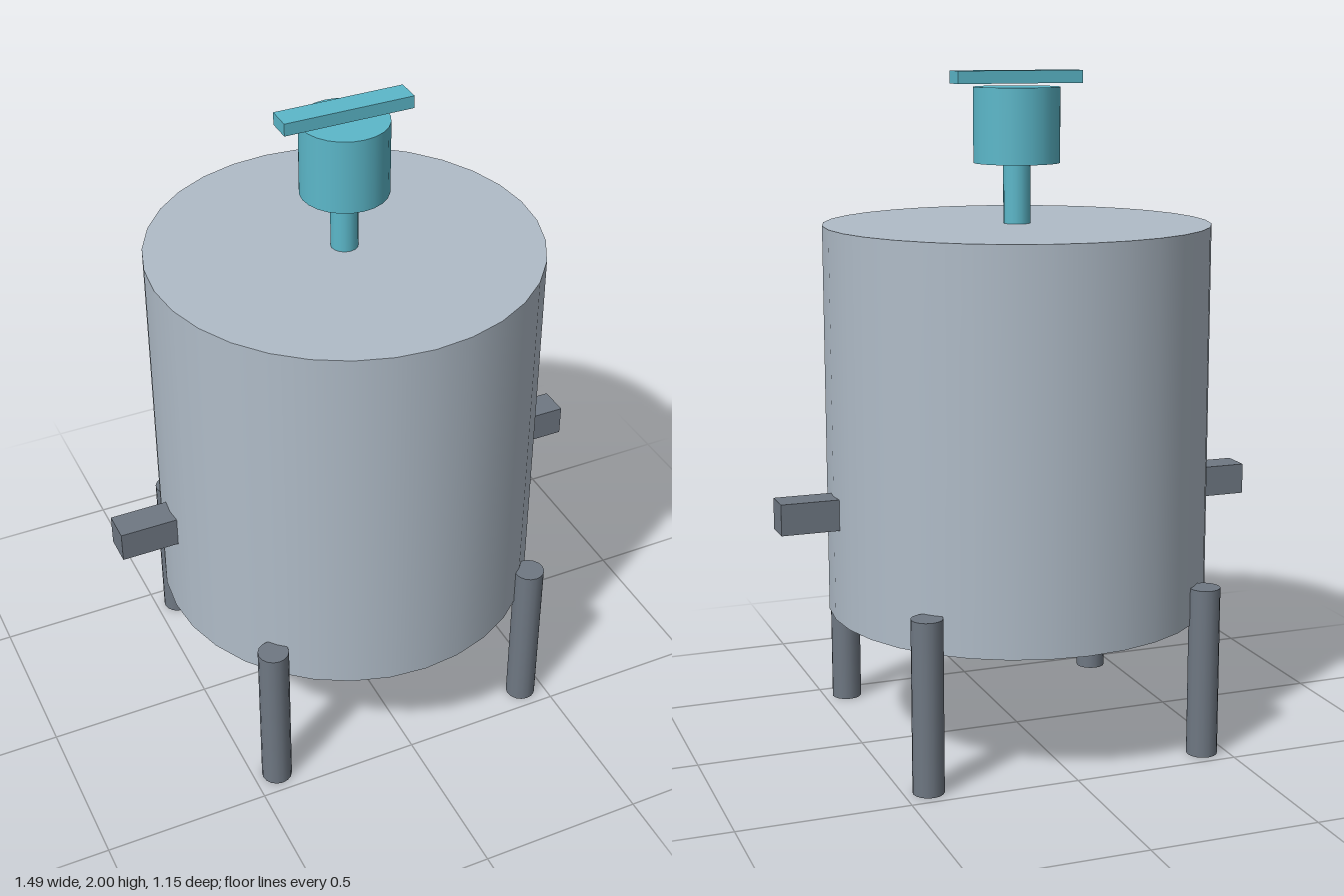
import * as THREE from 'three';

export function createModel() {
  const model = new THREE.Group();
  model.name = 'mixingTank';

  const material = (name, color) => {
    const m = new THREE.MeshStandardMaterial({ color });
    m.name = name;
    return m;
  };
  const steel = material('paleSteel', 0xb0bcc8);
  const darkSteel = material('darkSteel', 0x6f7883);
  const teal = material('tealPaint', 0x5cb8ca);

  const add = (name, geometry, mat, x, y, z) => {
    const mesh = new THREE.Mesh(geometry, mat);
    mesh.name = name;
    mesh.position.set(x, y, z);
    model.add(mesh);
  };
  // Upright cylinder given by its bottom and top heights
  const column = (name, radius, bottom, top, sides, mat, x = 0, z = 0) =>
    add(name, new THREE.CylinderGeometry(radius, radius, top - bottom, sides), mat, x, (bottom + top) / 2, z);

  // Vessel
  column('tank', 0.574, 0.398, 1.556, 32, steel);

  // Agitator drive: shaft, motor and the crossbar floating just above it
  column('shaft', 0.04, 1.55, 1.74, 16, teal);
  column('motor', 0.128, 1.733, 1.953, 24, teal);
  add('crossbar', new THREE.BoxGeometry(0.387, 0.037, 0.074), teal, 0, 1.9815, 0);

  // Side pipe stubs and four legs
  for (const sx of [-1, 1]) {
    add(sx > 0 ? 'leftPipe' : 'rightPipe', new THREE.BoxGeometry(0.193, 0.093, 0.092), darkSteel, sx * 0.6465, 0.7275, 0);
    for (const sz of [-1, 1]) {
      column((sz > 0 ? 'front' : 'back') + (sx > 0 ? 'LeftLeg' : 'RightLeg'),
        0.046, 0, 0.512, 16, darkSteel, sx * 0.428, sz * 0.428);
    }
  }
  return model;
}
